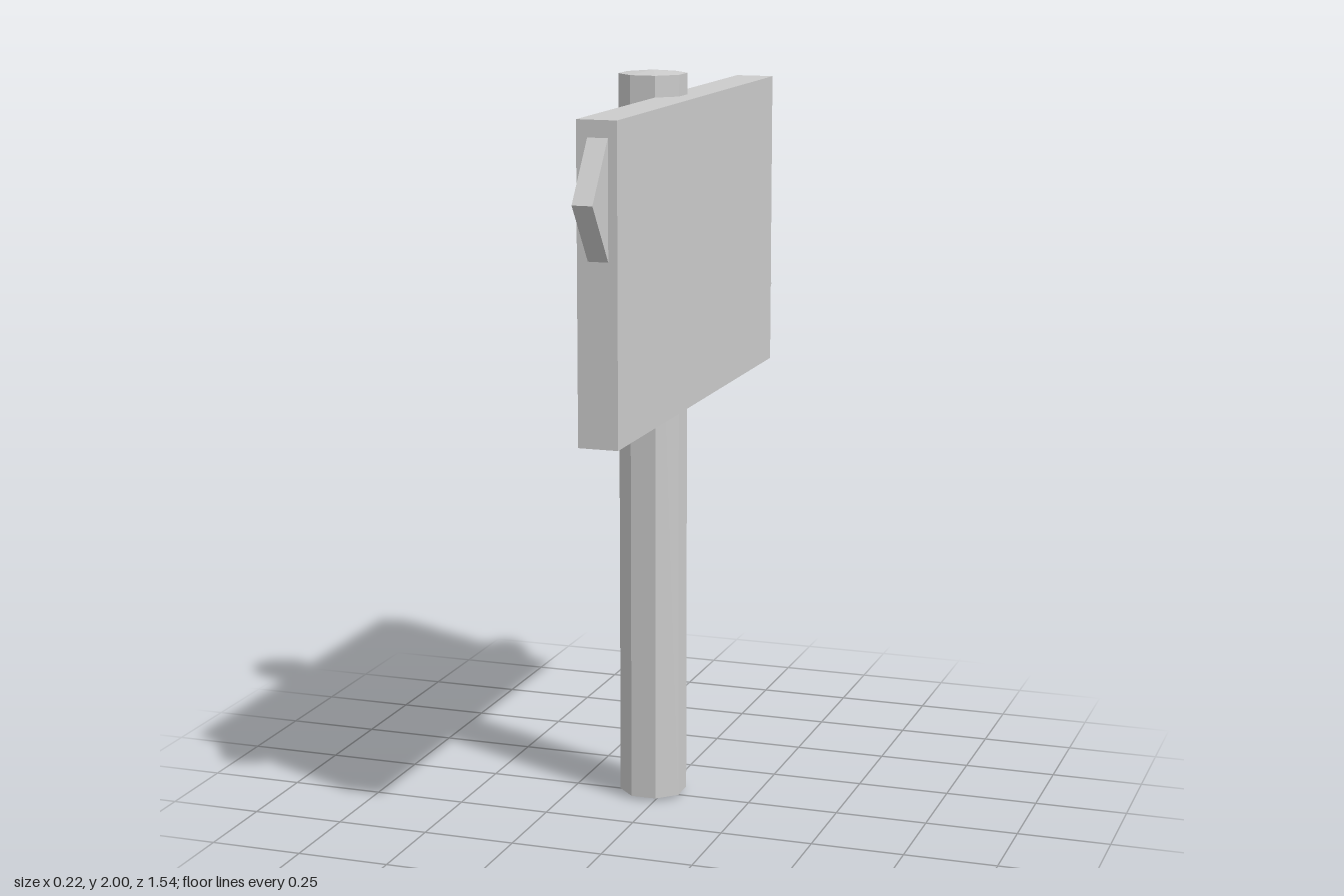
import * as THREE from 'three';

const grey = new THREE.MeshStandardMaterial({ color: 0xcccccc, flatShading: true });
grey.name = 'plainGrey';

function add(group, name, geometry) {
  const mesh = new THREE.Mesh(geometry, grey);
  mesh.name = name;
  group.add(mesh);
}

// Triangular pointer in the z-y plane, from its base on the board out to its tip
function pointer(baseZ, tipZ, y0, y1, x0, x1) {
  const shape = new THREE.Shape([
    new THREE.Vector2(baseZ, y0),
    new THREE.Vector2(tipZ, (y0 + y1) / 2),
    new THREE.Vector2(baseZ, y1),
  ]);
  const g = new THREE.ExtrudeGeometry(shape, { depth: x1 - x0, bevelEnabled: false });
  return g.rotateY(-Math.PI / 2).translate(x1, 0, 0);
}

export function createModel() {
  const model = new THREE.Group();
  model.name = 'signpost';

  // Octagonal post with very shallow pointed ends
  const r = 0.0915;
  const profile = [[0, 0], [r, 0.009], [r, 1.991], [0, 2]].map(([x, y]) => new THREE.Vector2(x, y));
  add(model, 'post', new THREE.LatheGeometry(profile, 8, Math.PI / 8).translate(-0.03, 0, -0.01));

  // Board fixed to the left side of the post
  add(model, 'board', new THREE.BoxGeometry(0.105, 0.813, 1.31).translate(0.056, 1.528, 0.005));

  // Pointers on the two ends of the board
  add(model, 'frontPointer', pointer(0.65, 0.77, 1.575, 1.905, 0.032, 0.085));
  add(model, 'backPointer', pointer(-0.64, -0.77, 1.14, 1.5, 0.044, 0.075));

  return model;
}
